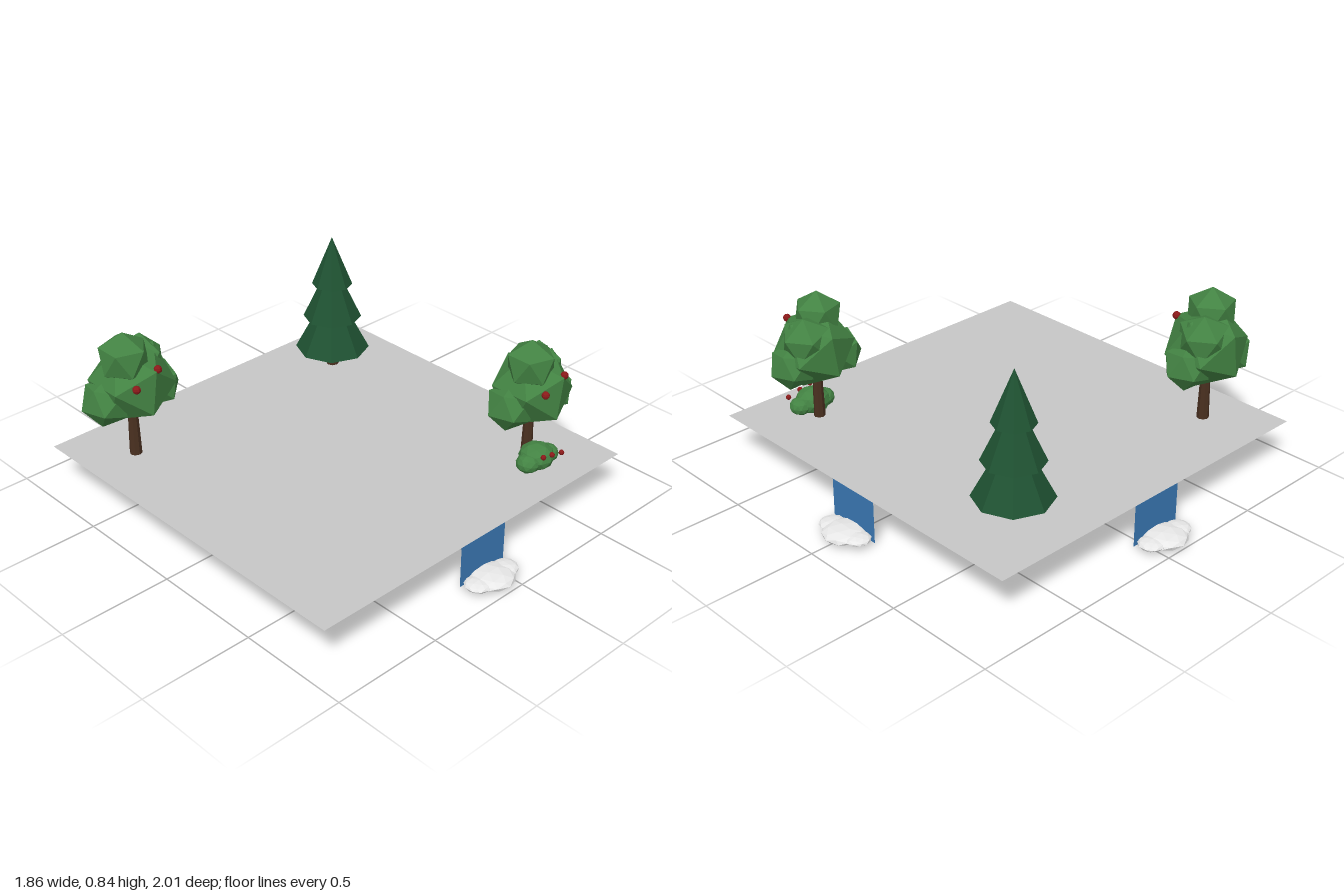
import * as THREE from 'three';

const material = (name, color, extra = {}) => {
  const m = new THREE.MeshStandardMaterial({ color, flatShading: true, ...extra });
  m.name = name;
  return m;
};

export function createModel() {
  const model = new THREE.Group();
  model.name = 'floatingGarden';

  const stone = material('groundGrey', 0xc6c6c6, { side: THREE.DoubleSide });
  const water = material('waterBlue', 0x3a78b4, { side: THREE.DoubleSide });
  const foamWhite = material('foamWhite', 0xf0f0f0);
  const leaf = material('leafGreen', 0x438343);
  const needle = material('pineGreen', 0x1f5232);
  const bark = material('barkBrown', 0x4a3020);
  const red = material('berryRed', 0x8b1a1a);

  const add = (parent, name, geometry, mat, x, y, z) => {
    const mesh = new THREE.Mesh(geometry, mat);
    mesh.name = name;
    mesh.position.set(x, y, z);
    parent.add(mesh);
    return mesh;
  };
  const group = (name, x, y, z) => {
    const g = new THREE.Group();
    g.name = name;
    g.position.set(x, y, z);
    model.add(g);
    return g;
  };
  // Faceted lump used for foliage, bushes and foam
  const lump = (parent, name, mat, [x, y, z, r, tilt = 0, turn = 0], detail = 0, squash = 1) => {
    const g = new THREE.IcosahedronGeometry(r, detail);
    g.rotateZ(tilt).rotateY(turn).scale(1, squash, 1);
    return add(parent, name, g, mat, x, y, z);
  };
  const berry = (parent, x, y, z, r) =>
    add(parent, 'berry', new THREE.SphereGeometry(r, 8, 6), red, x, y, z);

  // Ground sheet
  add(model, 'ground', new THREE.PlaneGeometry(1.71, 1.71).rotateX(-Math.PI / 2), stone, -0.075, 0.2, -0.005);

  // Three waterfalls, each with a foam patch at its foot
  const falls = [
    ['front', -0.075, 0.85, 0],
    ['back', -0.075, -0.86, Math.PI],
    ['left', 0.78, 0, Math.PI / 2],
  ];
  for (const [side, x, z, turn] of falls) {
    const g = group(side + 'Waterfall', x, 0, z);
    g.rotation.y = turn;
    add(g, 'waterSheet', new THREE.PlaneGeometry(0.255, 0.19), water, 0, 0.105, 0);
    const out = side === 'left' ? 0.048 : 0.053;
    lump(g, 'foamCentre', foamWhite, [0, 0.028, out, 0.098, 0.2], 1, 0.29);
    lump(g, 'foamSide', foamWhite, [-0.08, 0.03, out, 0.058, 0.5], 1, 0.32);
    lump(g, 'foamSide', foamWhite, [0.08, 0.032, out, 0.056, 0.9], 1, 0.32);
  }

  // Broadleaf trees with fruit
  const crown = [
    [0.01, 0.35, 0, 0.185, -0.15],
    [-0.035, 0.485, 0.02, 0.115, -0.554],
    [-0.115, 0.295, -0.015, 0.112, 0.2, 0.3],
    [0.13, 0.295, 0.0, 0.108, -0.25, 0.4],
    [0.07, 0.41, -0.03, 0.12, 0.3, 0.6],
  ];
  for (const [x, z, s] of [[-0.7, -0.58, 1], [0.49, 0.583, 0.96]]) {
    const tree = group('fruitTree', x, 0.2, z);
    tree.scale.setScalar(s);
    add(tree, 'trunk', new THREE.CylinderGeometry(0.019, 0.027, 0.3, 8), bark, 0, 0.15, 0);
    for (const c of crown) lump(tree, 'foliage', leaf, c);
    berry(tree, 0.04, 0.45, 0.145, 0.018);
    berry(tree, -0.065, 0.39, 0.135, 0.018);
  }

  // Pine of three stacked cones
  const pine = group('pineTree', 0.445, 0, -0.575);
  add(pine, 'trunk', new THREE.CylinderGeometry(0.025, 0.029, 0.14, 8), bark, 0, 0.27, 0);
  for (const [r, base, top] of [[0.17, 0.29, 0.61], [0.133, 0.45, 0.735], [0.092, 0.615, 0.845]]) {
    add(pine, 'branches', new THREE.ConeGeometry(r, top - base, 8), needle, 0, (base + top) / 2, 0);
  }

  // Low berry bush
  const bush = group('bush', 0.47, 0.2, 0.655);
  lump(bush, 'bushLeaves', leaf, [0, 0.04, 0, 0.077, -0.554], 1, 0.78);
  lump(bush, 'bushLeaves', leaf, [-0.06, 0.03, 0.005, 0.052, 0.3], 1, 0.8);
  lump(bush, 'bushLeaves', leaf, [0.062, 0.03, 0.005, 0.05, 0.6], 1, 0.8);
  for (const [x, y] of [[-0.042, 0.08], [0.015, 0.068], [0.078, 0.053]]) berry(bush, x, y, 0.07, 0.012);

  return model;
}
